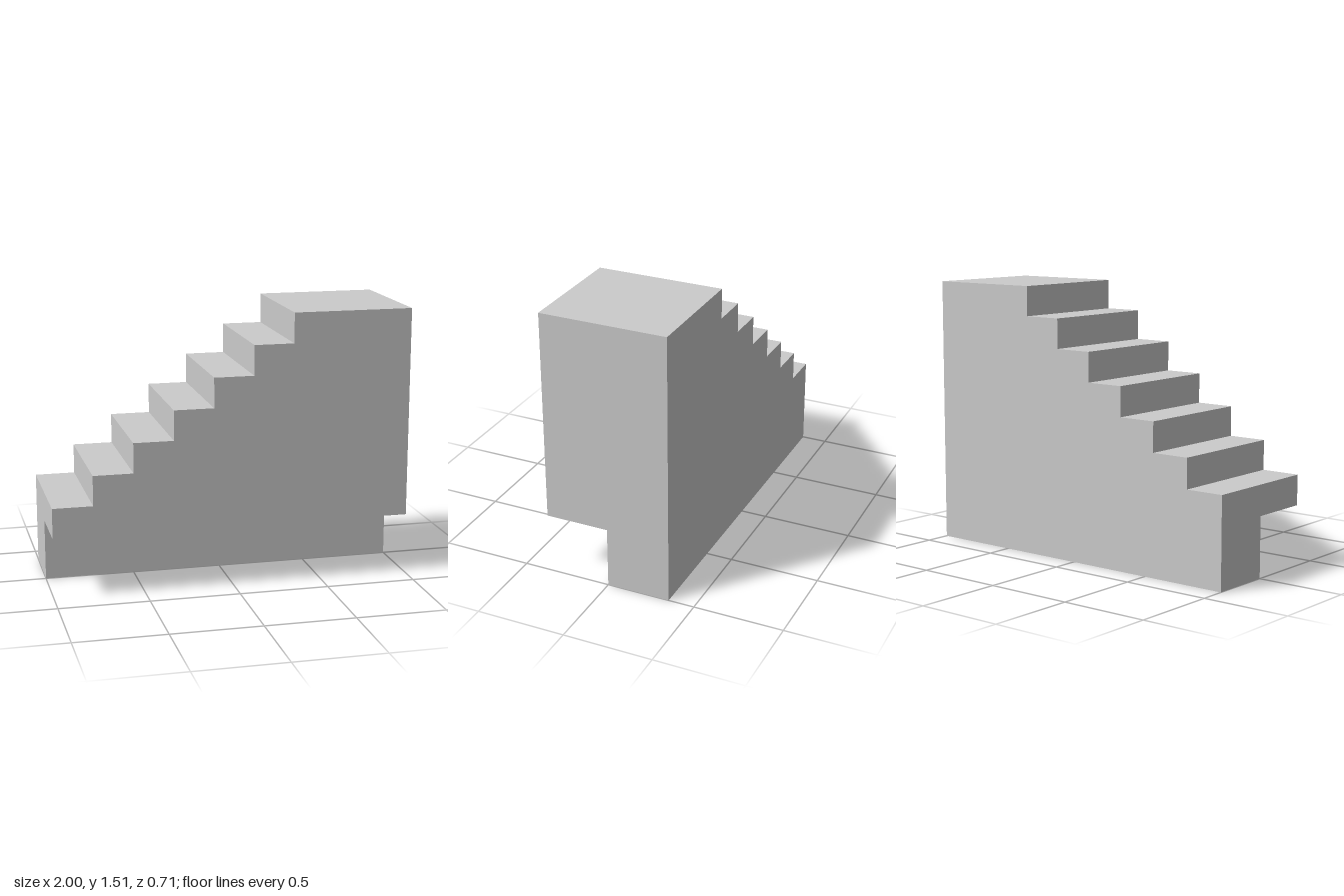
import * as THREE from 'three';

const STEPS = 7, TREAD = 2 / 9, RISE = 0.1675;
const FIRST = 0.51;          // height of the lowest tread
const NOTCH = 0.34;          // height of the overhang's underside
const D = 0.355;             // half depth

// Flat-shaded mesh from quads, corners anticlockwise seen from outside
function quadMesh(name, quads) {
  const pos = [];
  for (const [a, b, c, d] of quads) pos.push(...a, ...b, ...c, ...a, ...c, ...d);
  const geo = new THREE.BufferGeometry();
  geo.setAttribute('position', new THREE.Float32BufferAttribute(pos, 3));
  geo.computeVertexNormals();
  const mesh = new THREE.Mesh(geo, new THREE.MeshStandardMaterial({ color: 0xcccccc, flatShading: true }));
  mesh.name = name;
  return mesh;
}

// Strip between two profile points in the xy plane, spanning z0 to z1
const acrossZ = ([px, py], [qx, qy], z0, z1) =>
  [[px, py, z0], [px, py, z1], [qx, qy, z1], [qx, qy, z0]];

// Strip between two profile points in the zy plane, spanning the full length
const alongX = ([pz, py], [qz, qy]) =>
  [[-1, py, pz], [-1, qy, qz], [1, qy, qz], [1, py, pz]];

export function createModel() {
  const group = new THREE.Group();
  group.name = 'staircase';

  // Stepped outline, with the front and back walls laid in one column per step
  const outline = [[-1, NOTCH]], walls = [];
  for (let i = 0; i < STEPS; i++) {
    const x0 = -1 + i * TREAD;
    const x1 = i === STEPS - 1 ? 1 : x0 + TREAD;
    const y = FIRST + i * RISE;
    outline.push([x0, y], [x1, y]);
    walls.push(
      [[x0, NOTCH, D], [x1, NOTCH, D], [x1, y, D], [x0, y, D]],
      [[x0, 0, -D], [x0, y, -D], [x1, y, -D], [x1, 0, -D]]);
  }
  outline.push([1, NOTCH]);

  // Treads, risers and upper end walls
  const treads = outline.slice(1).map((q, i) => acrossZ(outline[i], q, -D, D));
  group.add(quadMesh('steps', treads), quadMesh('sideWalls', walls));

  // Overhang underside, recessed base front and bottom, then the base ends
  const section = [[D, NOTCH], [0, NOTCH], [0, 0], [-D, 0]];
  const base = section.slice(1).map((q, i) => alongX(section[i], q));
  base.push(
    acrossZ([-1, 0], [-1, NOTCH], -D, 0),
    acrossZ([1, NOTCH], [1, 0], -D, 0));
  group.add(quadMesh('recessedBase', base));

  return group;
}
